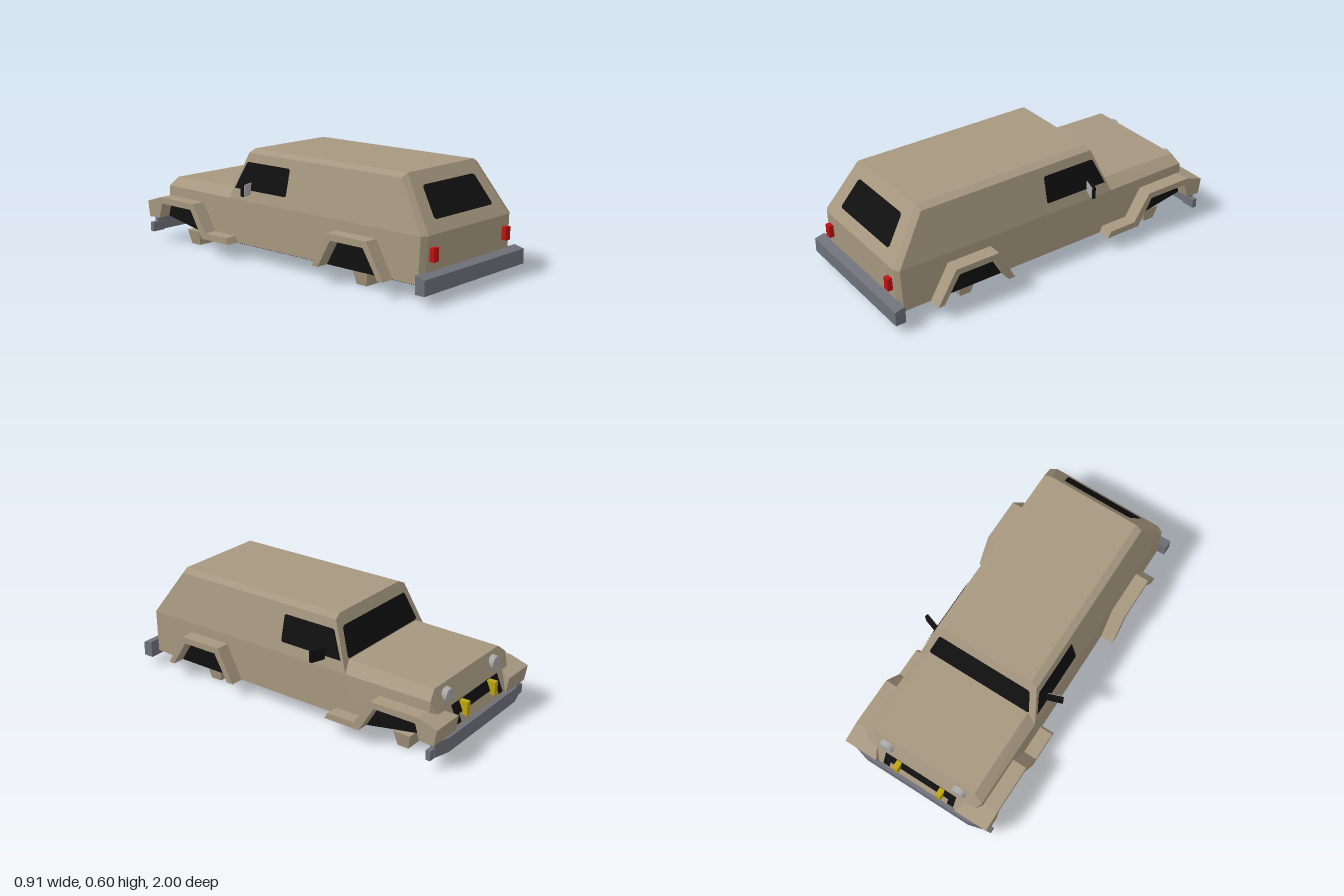
import * as THREE from 'three';
import { ConvexGeometry } from 'three/addons/geometries/ConvexGeometry.js';

const paint = (name, color, extra = {}) => {
  const m = new THREE.MeshStandardMaterial({ color, flatShading: true, ...extra });
  m.name = name;
  return m;
};

export function createModel() {
  const car = new THREE.Group();
  const tan = paint('tan paint', 0xa6977f);
  const black = paint('black glass and trim', 0x101010, { side: THREE.DoubleSide });
  const grey = paint('bumper grey', 0x6e7079);
  const red = paint('tail light red', 0xc01010);
  const yellow = paint('indicator yellow', 0xbfa510);
  const silver = paint('lamp silver', 0xa8a8a8);

  const add = (name, geo, mat, x = 0, y = 0, z = 0) => {
    const m = new THREE.Mesh(geo, mat);
    m.name = name;
    m.position.set(x, y, z);
    car.add(m);
    return m;
  };
  const box = (name, mat, x0, x1, y0, y1, z0, z1) =>
    add(name, new THREE.BoxGeometry(x1 - x0, y1 - y0, z1 - z0), mat,
      (x0 + x1) / 2, (y0 + y1) / 2, (z0 + z1) / 2);
  // Convex solid from points
  const hull = (name, mat, pts) =>
    add(name, new ConvexGeometry(pts.map(p => new THREE.Vector3(...p))), mat);
  // Symmetric solid: every point is mirrored across x
  const both = pts => pts.flatMap(([x, y, z]) => [[x, y, z], [-x, y, z]]);
  // Flat convex panel
  const panel = (name, mat, pts) => {
    const g = new THREE.BufferGeometry();
    const tri = [];
    for (let i = 1; i < pts.length - 1; i++) tri.push(...pts[0], ...pts[i], ...pts[i + 1]);
    g.setAttribute('position', new THREE.Float32BufferAttribute(tri, 3));
    g.computeVertexNormals();
    return add(name, g, mat);
  };
  // Side profile in (z, y) extruded across x from x0 to x1
  const profile = (name, mat, pts, x0, x1) => {
    const shape = new THREE.Shape(pts.map(p => new THREE.Vector2(...p)));
    const g = new THREE.ExtrudeGeometry(shape, { depth: x1 - x0, bevelEnabled: false });
    g.rotateY(-Math.PI / 2);
    return add(name, g, mat, x1);
  };

  // Cabin with tapered sides and chamfered rear corners
  hull('cabin', tan, both([
    [0.345, 0.085, 0.945], [0.375, 0.085, 0.925], [0.335, 0.325, 0.955], [0.37, 0.325, 0.935],
    [0.27, 0.6, 0.77], [0.31, 0.58, 0.765], [0.27, 0.6, -0.286], [0.31, 0.58, -0.294],
    [0.37, 0.325, -0.398], [0.375, 0.085, -0.398],
  ]));

  // Hood and nose
  hull('hood', tan, both([
    [0.31, 0.38, -0.36], [0.37, 0.325, -0.36], [0.375, 0.085, -0.36], [0.375, 0.085, -0.54],
    [0.31, 0.37, -0.89], [0.365, 0.325, -0.905], [0.3, 0.15, -0.98], [0.37, 0.15, -0.9],
  ]));

  // Black underside
  const f = 0.003;
  panel('floor', black, [[-0.37, 0.085 - f, 0.93], [0.37, 0.085 - f, 0.93],
    [0.37, 0.085 - f, -0.54], [-0.37, 0.085 - f, -0.54]]);
  panel('noseFloor', black, both([[0.37, 0.085 - f, -0.54]]).concat(
    [[-0.3, 0.149 - f, -0.97], [0.3, 0.149 - f, -0.97]]));

  // Front and rear windows follow the sloped ends
  const rearZ = y => 0.959 - 0.673 * (y - 0.325);
  const frontZ = y => -0.29 - 0.407 * (0.6 - y);
  const endWindow = (name, zAt, y0, y1, w0, w1) => {
    const c = 0.01; // clipped corners
    const row = (y, w) => [w, y, zAt(y)];
    const right = [row(y0, w0 - c), row(y0 + c, w0), row(y1 - c, w1 + 0.003), row(y1, w1 - c)];
    panel(name, black, [...right, ...right.map(([x, y, z]) => [-x, y, z]).reverse()]);
  };
  endWindow('rearWindow', rearZ, 0.385, 0.537, 0.24, 0.21);
  endWindow('windshield', frontZ, 0.385, 0.54, 0.315, 0.28);

  // Arch outlines in (z, y)
  const rearInner = [[0.735, 0.085], [0.64, 0.235], [0.425, 0.235], [0.34, 0.085]];
  const rearOuter = [[0.30, 0.085], [0.40, 0.27], [0.66, 0.27], [0.77, 0.085]];
  const frontInner = [[-0.90, 0.15], [-0.875, 0.235], [-0.63, 0.235], [-0.54, 0.085]];
  const frontOuter = [[-0.325, 0.085], [-0.345, 0.12], [-0.51, 0.12], [-0.61, 0.27], [-0.89, 0.27],
    [-1.0, 0.235], [-0.985, 0.145]];

  for (const s of [1, -1]) {
    const span = (a, b) => (s > 0 ? [a, b] : [-b, -a]);

    // Side window
    const sideX = y => s * (0.374 - 0.2353 * (y - 0.325));
    panel('sideWindow', black, [[0.02, 0.532], [-0.285, 0.532], [-0.297, 0.525], [-0.36, 0.385],
      [0.02, 0.385], [0.028, 0.393], [0.028, 0.524]].map(([z, y]) => [sideX(y), y, z]));

    // Wheel wells and flares
    for (const [inner, outer, end] of [[rearInner, rearOuter, 'rear'], [frontInner, frontOuter, 'front']]) {
      panel(end + 'WheelWell', black, inner.map(([z, y]) => [s * 0.379, y, z]));
      profile(end + 'Flare', tan, [...inner, ...outer], ...span(0.36, 0.45));
    }

    // Wrapped front corner of the fender
    hull('fenderCorner', tan, [
      [0.45, 0.27, -0.89], [0.31, 0.27, -0.89], [0.45, 0.235, -1], [0.25, 0.235, -1],
      [0.45, 0.145, -0.985], [0.25, 0.145, -0.985], [0.45, 0.15, -0.9], [0.31, 0.15, -0.9],
    ].map(([x, y, z]) => [s * x, y, z]));

    // Headlight
    const lamp = add('headlight', new THREE.CylinderGeometry(0.038, 0.043, 0.03, 16), silver,
      s * 0.228, 0.312, -0.917);
    lamp.rotation.x = -Math.PI / 2;

    // Indicator and tail light
    box('indicator', yellow, s * 0.137 - 0.015, s * 0.137 + 0.015, 0.185, 0.258, -0.988, -0.94);
    box('tailLight', red, s * 0.3 - 0.019, s * 0.3 + 0.019, 0.195, 0.265, 0.94, 0.978);

    // Side mirror, swept back towards its tip
    const mirror = new THREE.Group();
    mirror.name = 'sideMirror';
    const housing = new THREE.Mesh(new THREE.BoxGeometry(0.1, 0.066, 0.018), black);
    housing.name = 'mirrorHousing';
    const glass = new THREE.Mesh(new THREE.BoxGeometry(0.09, 0.06, 0.004), silver);
    glass.name = 'mirrorGlass';
    glass.position.z = 0.011;
    mirror.add(housing, glass);
    mirror.position.set(s * 0.388, 0.398, -0.24);
    mirror.rotation.y = -s * 0.33;
    car.add(mirror);

    // Lower bumper end
    box('frontBumperEnd', grey, ...span(0.38, 0.457), 0.062, 0.115, -0.972, -0.945);
  }

  // Grille: upper band and two legs on the sloped nose
  const noseZ = y => -0.911 - 0.4286 * (0.325 - y);
  const grille = (name, x0, x1, y0, y1) => panel(name, black,
    [[x0, y0, noseZ(y0)], [x1, y0, noseZ(y0)], [x1, y1, noseZ(y1)], [x0, y1, noseZ(y1)]]);
  grille('grilleBand', -0.225, 0.225, 0.205, 0.26);
  grille('grilleLeg', 0.185, 0.225, 0.165, 0.205);
  grille('grilleLeg', -0.225, -0.185, 0.165, 0.205);

  // Bumpers
  hull('rearBumper', grey, both([[0.417, 0.052, 1], [0.417, 0.132, 1], [0.417, 0.146, 0.942], [0.417, 0.052, 0.942]]));
  hull('frontBumper', grey, both([[0.33, 0.065, -1], [0.33, 0.145, -1], [0.42, 0.065, -0.975],
    [0.42, 0.145, -0.975], [0.42, 0.065, -0.95], [0.42, 0.15, -0.95]]));

  // Axle beams
  for (const z of [0.53, -0.73]) {
    hull('axleBeam', tan, both([[0.327, 0, z - 0.033], [0.327, 0, z + 0.033],
      [0.343, 0.081, z - 0.05], [0.343, 0.081, z + 0.05]]));
  }
  return car;
}
